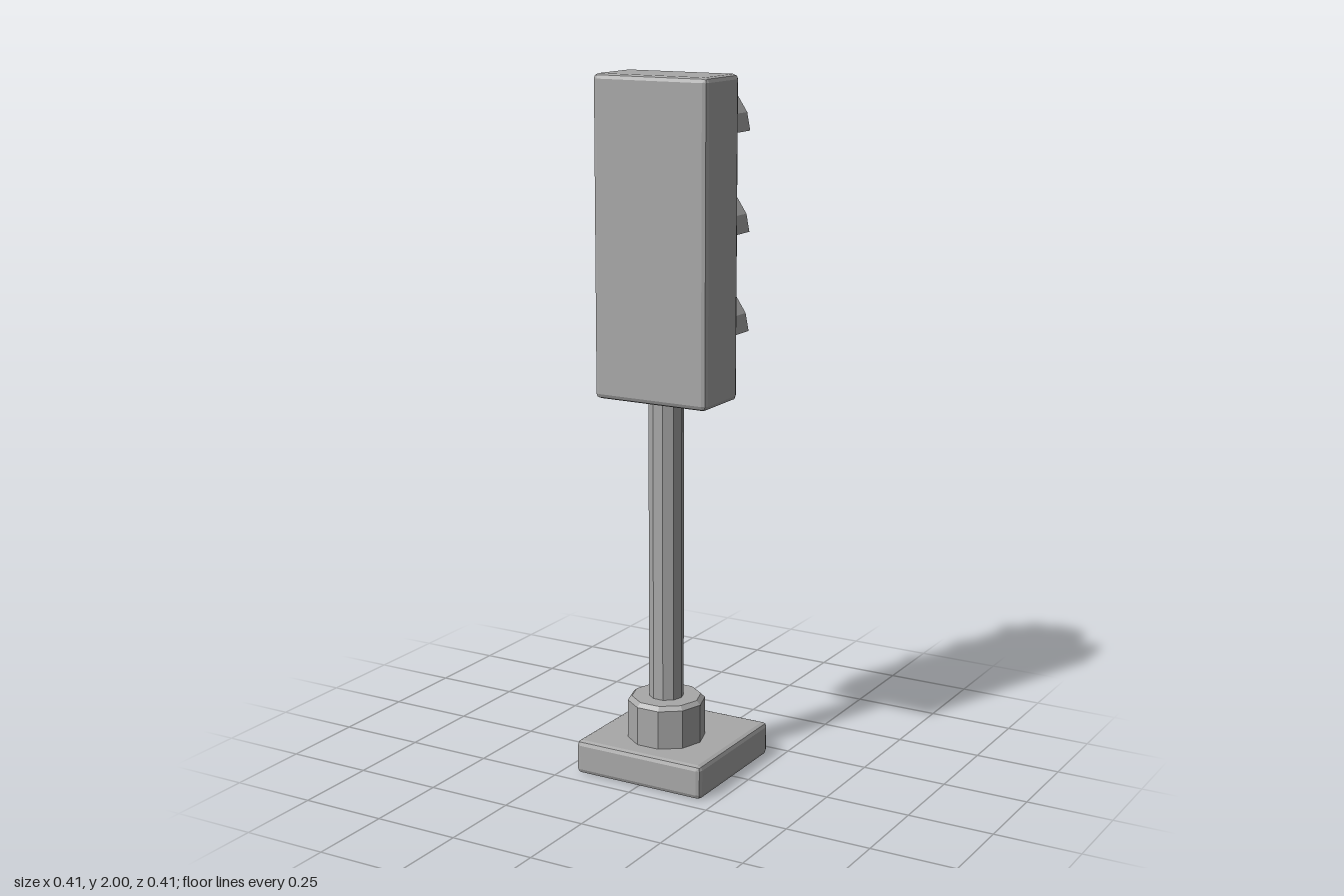
import * as THREE from 'three';
import { RoundedBoxGeometry } from 'three/addons/geometries/RoundedBoxGeometry.js';

export function createModel() {
  const model = new THREE.Group();
  model.name = 'trafficLight';
  const grey = new THREE.MeshStandardMaterial({ color: 0xa8a8a8, flatShading: true });
  grey.name = 'grey';

  const add = (name, geometry, x, y, z, parent = model) => {
    const mesh = new THREE.Mesh(geometry, grey);
    mesh.name = name;
    mesh.position.set(x, y, z);
    parent.add(mesh);
    return mesh;
  };

  // Closed faceted solid with chamfered rims; profile rows are [radius, height]
  const turned = (rows, sides, start = 0) => new THREE.LatheGeometry(
    rows.map(([r, y]) => new THREE.Vector2(r, y)), sides, start);

  // Base slab, collar and pole
  add('base', new RoundedBoxGeometry(0.41, 0.1, 0.41, 1, 0.014), 0, 0.05, 0);
  add('collar', turned([[0, 0], [0.112, 0], [0.112, 0.125], [0.1, 0.137], [0, 0.137]],
    10, Math.PI / 10), 0, 0.088, 0.038);
  add('pole', turned([[0, 0], [0.05, 0], [0.05, 0.95], [0, 0.95]],
    10, Math.PI / 10), 0, 0.19, 0.038);

  // Signal housing
  add('housing', new RoundedBoxGeometry(0.355, 0.9, 0.185, 1, 0.014), 0, 1.55, 0.039);

  // Lens disc facing the back
  const lensGeometry = turned(
    [[0, 0], [0.13, 0], [0.13, 0.032], [0.122, 0.04], [0, 0.04]], 16);
  lensGeometry.rotateX(-Math.PI / 2);

  // Half-round hood, with a flared lip at its -x end
  const outline = [];
  const arc = (r, i) => new THREE.Vector2(
    r * Math.cos((i * Math.PI) / 8), r * Math.sin((i * Math.PI) / 8));
  for (let i = 0; i < 8; i++) outline.push(arc(0.132, i));
  outline.push(new THREE.Vector2(-0.13, 0.016), new THREE.Vector2(-0.148, 0),
    new THREE.Vector2(-0.108, 0), new THREE.Vector2(-0.118, 0.016));
  for (let i = 7; i >= 0; i--) outline.push(arc(0.118, i));
  const hoodGeometry = new THREE.ExtrudeGeometry(new THREE.Shape(outline),
    { depth: 0.16, bevelEnabled: false });

  // Three stacked signals
  ['top', 'middle', 'bottom'].forEach((place, i) => {
    const signal = new THREE.Group();
    signal.name = `${place}Signal`;
    signal.position.set(0, 1.833 - i * 0.283, 0);
    add('lens', lensGeometry, 0, 0, -0.045, signal);
    add('hood', hoodGeometry, 0, 0, -0.2, signal);
    model.add(signal);
  });

  return model;
}
